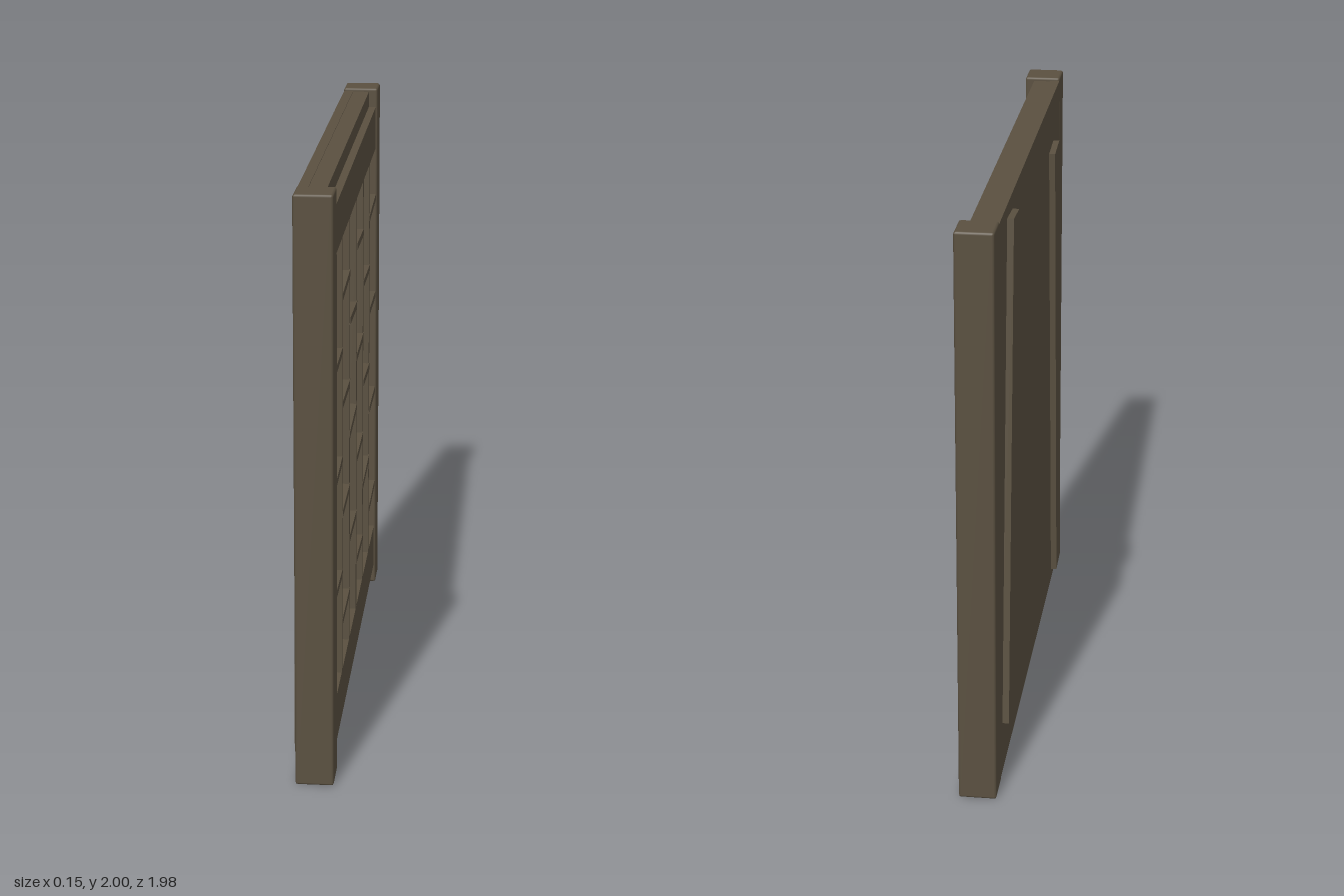
import * as THREE from 'three';
import { RoundedBoxGeometry } from 'three/addons/geometries/RoundedBoxGeometry.js';

export function createModel() {
  const model = new THREE.Group();
  model.name = 'wallPanel';
  const wood = new THREE.MeshStandardMaterial({ color: 0x5a5040 });
  wood.name = 'darkWood';

  const add = (name, geometry, x, y, z, tilt = 0) => {
    const mesh = new THREE.Mesh(geometry, wood);
    mesh.name = name;
    mesh.position.set(x, y, z);
    mesh.rotation.x = tilt;
    model.add(mesh);
  };
  // Box given by its lower and upper limits on each axis
  const span = (name, x0, x1, y0, y1, z0, z1) =>
    add(name, new THREE.BoxGeometry(x1 - x0, y1 - y0, z1 - z0),
      (x0 + x1) / 2, (y0 + y1) / 2, (z0 + z1) / 2);

  // End posts with slightly eased edges
  for (const side of [1, -1]) {
    add('post', new RoundedBoxGeometry(0.128, 2, 0.128, 1, 0.008), 0.009, 1, side * 0.924);
  }

  // Back sheet and core of the wall
  span('backSheet', -0.054, -0.02, 0.01, 1.99, -0.865, 0.865);
  span('core', -0.02, 0.03, 0.012, 1.988, -0.865, 0.865);

  // Top and bottom edge strips with the wide rails in front of them
  span('topStrip', 0.025, 0.04, 1.93, 1.988, -0.862, 0.862);
  span('bottomStrip', 0.025, 0.04, 0.012, 0.075, -0.862, 0.862);
  span('topRail', 0.025, 0.066, 1.77, 1.93, -0.862, 0.862);
  span('bottomRail', 0.025, 0.066, 0.075, 0.24, -0.862, 0.862);

  // Thin upright battens
  const battens = [0.586, 0.295, 0.006, -0.283, -0.574];
  for (const z of battens) span('uprightBatten', 0.025, 0.066, 0.24, 1.77, z - 0.0135, z + 0.0135);

  // Slightly crooked cross slats: height at the +z end and at the -z end
  const slats = [
    [[1.388, 1.388], [1.0, 1.01], [0.613, 0.604]],
    [[1.569, 1.579], [1.198, 1.19], [0.812, 0.812], [0.421, 0.421]],
    [[1.406, 1.39], [1.0, 1.014], [0.617, 0.609]],
    [[1.596, 1.583], [1.194, 1.194], [0.812, 0.812], [0.424, 0.408]],
    [[1.387, 1.375], [1.008, 0.992], [0.612, 0.625]],
    [[1.567, 1.581], [1.203, 1.196], [0.812, 0.812], [0.41, 0.421]],
  ];
  const edges = [0.865, ...battens, -0.865];
  slats.forEach((column, i) => {
    const width = edges[i] - edges[i + 1];
    const z = (edges[i] + edges[i + 1]) / 2;
    for (const [a, b] of column) {
      add('crossSlat', new THREE.BoxGeometry(0.042, 0.025, width),
        0.047, (a + b) / 2, z, -Math.atan2(a - b, width));
    }
  });

  // Leaning braces on the back, from top (z, y) to bottom (z, y)
  for (const [z0, y0, z1, y1] of [[0.6, 1.81, 0.74, 0.06], [-0.6, 1.94, -0.745, 0.19]]) {
    add('backBrace', new THREE.BoxGeometry(0.03, Math.hypot(z0 - z1, y0 - y1), 0.14),
      -0.061, (y0 + y1) / 2, (z0 + z1) / 2, Math.atan2(z0 - z1, y0 - y1));
  }
  return model;
}
